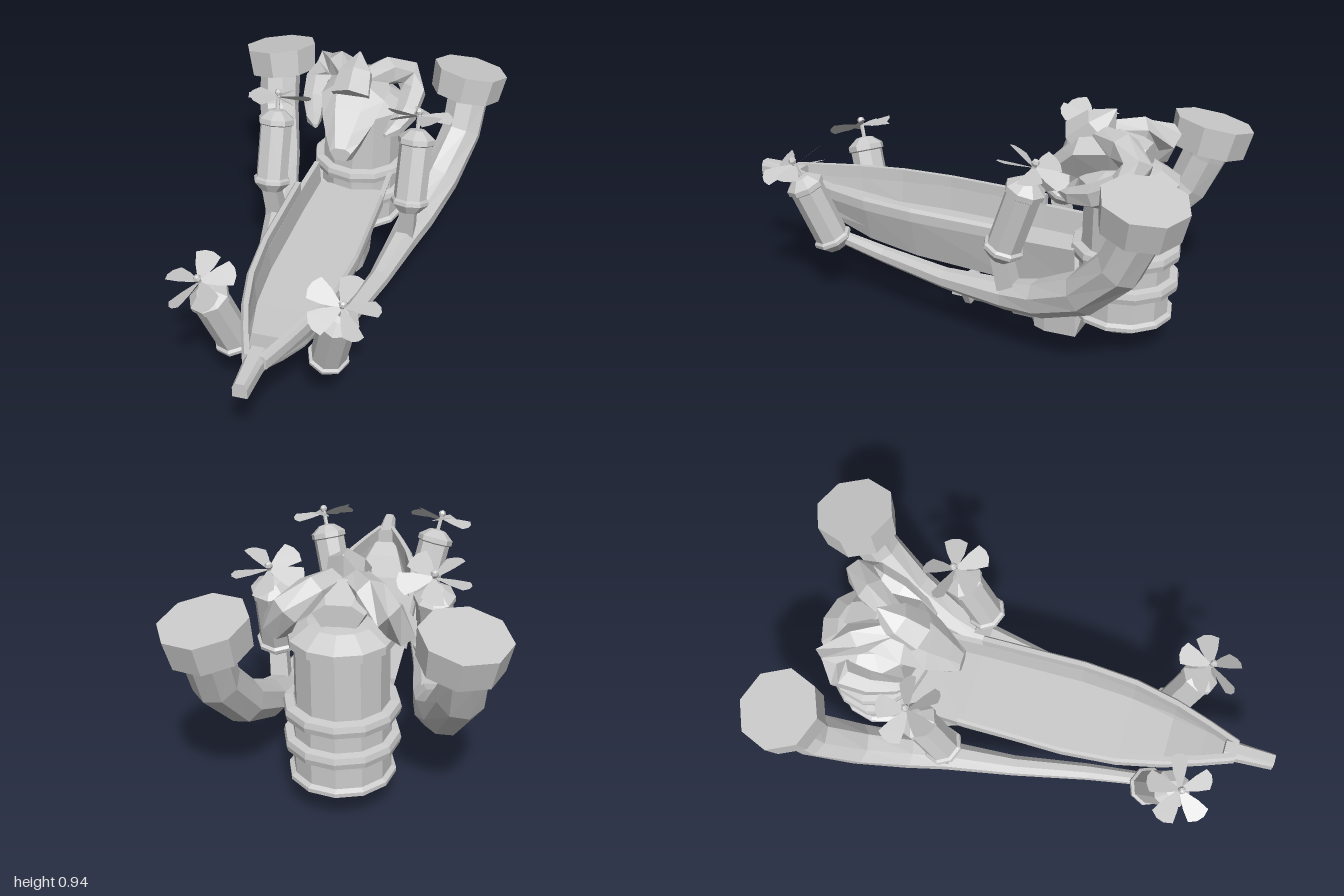
import * as THREE from 'three';

const mat = new THREE.MeshStandardMaterial({ color: 0xcccccc, flatShading: true, side: THREE.DoubleSide });
const V = (x, y, z) => new THREE.Vector3(x, y, z);

function add(parent, name, geo, x = 0, y = 0, z = 0) {
  const m = new THREE.Mesh(geo, mat);
  m.name = name;
  m.position.set(x, y, z);
  parent.add(m);
  return m;
}

// Skin a list of closed rings (counter-clockwise about the travel direction), ends capped
function loft(rings, flat2D) {
  const pos = [], n = rings[0].length;
  const tri = (a, b, c) => [a, b, c].forEach(p => pos.push(p.x, p.y, p.z));
  for (let r = 0; r < rings.length - 1; r++) {
    for (let i = 0; i < n; i++) {
      const j = (i + 1) % n, A = rings[r], B = rings[r + 1];
      tri(A[i], A[j], B[j]);
      tri(A[i], B[j], B[i]);
    }
  }
  const first = rings[0], last = rings[rings.length - 1];
  const faces = flat2D
    ? THREE.ShapeUtils.triangulateShape(first.map(p => new THREE.Vector2(p.x, p.y)), [])
    : Array.from({ length: n - 2 }, (_, i) => [0, i + 1, i + 2]);
  for (const [a, b, c] of faces) {
    tri(first[c], first[b], first[a]);
    tri(last[a], last[b], last[c]);
  }
  const g = new THREE.BufferGeometry();
  g.setAttribute('position', new THREE.Float32BufferAttribute(pos, 3));
  g.computeVertexNormals();
  return g;
}

// Faceted tube of changing radius; each station is [x, y, z, radius]
function taperTube(stations, sides) {
  const p = stations.map(s => V(s[0], s[1], s[2]));
  return loft(p.map((c, i) => {
    const t = p[Math.min(i + 1, p.length - 1)].clone().sub(p[Math.max(i - 1, 0)]).normalize();
    const u = V(1, 0, 0).addScaledVector(t, -t.x).normalize();
    const v = t.clone().cross(u);
    return Array.from({ length: sides }, (_, k) => {
      const a = (k + 0.5) / sides * Math.PI * 2, r = stations[i][3];
      return c.clone().addScaledVector(u, r * Math.cos(a)).addScaledVector(v, r * Math.sin(a));
    });
  }));
}

const lathe = (pts, seg) => new THREE.LatheGeometry(pts.map(p => new THREE.Vector2(...p)), seg);

// Engine pod with propeller, pointing along +y from its base
function engine(name, spin, pitch) {
  const g = new THREE.Group();
  g.name = name;
  add(g, 'pod', lathe([[0, 0], [0.045, 0.008], [0.08, 0.045], [0.08, 0.06], [0.069, 0.068], [0.069, 0.295],
    [0.077, 0.3], [0.077, 0.322], [0.035, 0.355], [0, 0.36]], 8));
  add(g, 'shaft', new THREE.CylinderGeometry(0.009, 0.009, 0.08, 6), 0, 0.39, 0);
  add(g, 'hub', new THREE.SphereGeometry(0.016, 6, 4), 0, 0.43, 0);
  const s = new THREE.Shape([[0.008, -0.008], [0.07, -0.034], [0.122, -0.046], [0.138, -0.015], [0.138, 0.015],
    [0.122, 0.046], [0.07, 0.034], [0.008, 0.008]].map(p => new THREE.Vector2(...p)));
  for (let i = 0; i < 5; i++) {
    const blade = add(g, 'blade', new THREE.ShapeGeometry(s), 0, 0.41, 0);
    blade.rotation.set(-Math.PI / 2 + pitch, spin + i * Math.PI * 0.4, 0, 'YXZ');
  }
  return g;
}

export function createModel() {
  const model = new THREE.Group();
  model.name = 'airship';

  // Hull: [z, half width, keel height]
  const st = [[-0.5, 0.175, 0.2], [-0.25, 0.185, 0.175], [0.18, 0.19, 0.195], [0.4, 0.172, 0.22],
    [0.58, 0.132, 0.26], [0.72, 0.085, 0.305], [0.85, 0.036, 0.36], [0.9, 0.022, 0.41]];
  add(model, 'hull', loft(st.map(([z, w, k]) => {
    const i = w * 0.88, c = Math.min(k + 0.055, 0.425), d = Math.max(0.33, Math.min(c + 0.02, 0.43));
    return [[w, 0.43], [i, 0.43], [i * 0.95, d], [-i * 0.95, d], [-i, 0.43], [-w, 0.43],
      [-w * 0.75, c], [0, k], [w * 0.75, c]].map(([x, y]) => V(x, y, z));
  }), true));

  // Prow beam
  add(model, 'prow', loft([[0.8, 0.04], [0.87, 0.034], [1, 0.027]].map(([z, w]) =>
    [[w, 0.415], [w, 0.455], [w * 0.6, 0.475], [-w * 0.6, 0.475], [-w, 0.455], [-w, 0.415]].map(([x, y]) => V(x, y, z)))));

  // Boiler with bands
  add(model, 'boiler', lathe([[0, 0.06], [0.1, 0.078], [0.195, 0.135], [0.195, 0.15], [0.178, 0.16], [0.178, 0.42],
    [0.17, 0.43], [0.17, 0.65], [0.19, 0.66], [0.19, 0.69], [0.12, 0.735], [0, 0.75]], 12), 0, 0, -0.65);
  for (const y of [0.28, 0.405]) {
    add(model, 'boilerBand', lathe([[0.175, -0.028], [0.207, -0.022], [0.212, 0], [0.207, 0.022], [0.175, 0.028]], 12), 0, y, -0.65);
  }

  // Ram's head: [z, half width, bottom, top]
  const head = new THREE.Group();
  head.name = 'ramHead';
  model.add(head);
  add(head, 'skull', loft([[-0.72, 0.09, 0.72, 0.82], [-0.6, 0.125, 0.7, 0.865], [-0.47, 0.135, 0.68, 0.845],
    [-0.39, 0.108, 0.61, 0.77], [-0.32, 0.07, 0.58, 0.7], [-0.275, 0.045, 0.595, 0.65]].map(([z, w, b, t]) => {
    const m = b + (t - b) * 0.68;
    return [[w, m], [w * 0.5, t], [-w * 0.5, t], [-w, m], [-w * 0.55, b], [w * 0.55, b]].map(([x, y]) => V(x, y, z));
  })));
  add(head, 'crest', taperTube([[0, 0.8, -0.45, 0.09], [0, 0.875, -0.53, 0.075], [0, 0.945, -0.585, 0.003]], 6));

  // Underslung gun turret: [z, half width, bottom, top]
  add(model, 'turret', loft([[-0.53, 0.1, 0.16, 0.22], [-0.49, 0.102, 0.01, 0.22], [-0.36, 0.102, 0.005, 0.21],
    [-0.31, 0.085, 0.01, 0.18]].map(([z, w, b, t]) =>
    [[w * 0.84, b], [w, t], [-w, t], [-w * 0.84, b]].map(([x, y]) => V(x, y, z)))));
  const gun = new THREE.Group();
  gun.name = 'gun';
  gun.position.y = 0.085;
  gun.rotation.x = Math.PI / 2;
  model.add(gun);
  add(gun, 'gunBody', lathe([[0.092, -0.36], [0.092, -0.3], [0.073, -0.285], [0.073, -0.2], [0.056, -0.19],
    [0.056, -0.02], [0.074, -0.012], [0.074, 0.015], [0.04, 0.045], [0, 0.055]], 6)).rotation.y = Math.PI / 6;
  for (let i = 0; i < 4; i++) {
    const a = i * Math.PI / 2;
    add(gun, 'muzzle', new THREE.CylinderGeometry(0.014, 0.014, 0.09, 6), 0.047 * Math.cos(a), 0.043, 0.047 * Math.sin(a));
  }

  for (const s of [1, -1]) {
    const side = s > 0 ? 'left' : 'right';

    // Gunwale rail, ending at the rear engine
    add(model, side + 'Rail', loft(st.slice(1, 7).map(([z, w]) => {
      const a = w + 0.008, b = Math.max(w - 0.022, 0.008);
      const ring = [[a, 0.422], [a, 0.462], [a - 0.01, 0.476], [b, 0.476], [b, 0.422]].map(([x, y]) => V(s * x, y, z));
      return s > 0 ? ring : ring.reverse();
    })));

    // Exhaust horn sweeping down and tapering forward along the hull
    add(model, side + 'Exhaust', taperTube([[0.43, 0.74, -0.84, 0.092], [0.43, 0.66, -0.82, 0.09],
      [0.42, 0.53, -0.765, 0.088], [0.365, 0.37, -0.615, 0.084], [0.31, 0.277, -0.43, 0.074], [0.278, 0.245, -0.28, 0.06],
      [0.24, 0.233, 0, 0.042], [0.185, 0.245, 0.3, 0.034], [0.155, 0.275, 0.56, 0.026]].map(([x, ...r]) => [s * x, ...r]), 8));
    const funnel = add(model, side + 'Funnel', new THREE.CylinderGeometry(0.16, 0.15, 0.115, 8), s * 0.424, 0.745, -0.835);
    funnel.quaternion.setFromUnitVectors(V(0, 1, 0), V(s * 0.14, 1, -0.17).normalize());

    // Curled ram horn
    add(head, side + 'RamHorn', taperTube([[0.02, 0.835, -0.53, 0.05], [0.1, 0.835, -0.655, 0.062], [0.175, 0.8, -0.73, 0.06],
      [0.212, 0.73, -0.69, 0.058], [0.205, 0.68, -0.59, 0.05], [0.175, 0.65, -0.49, 0.035], [0.15, 0.65, -0.43, 0.01]]
      .map(([x, ...r]) => [s * x, ...r]), 6));

    // Engines: base point, axis and blade pitch, mirrored side to side
    for (const [name, base, axis, pitch] of [
      ['FrontEngine', V(s * 0.172, 0.222, 0.535), V(s * 0.088, 0.37, 0.125), -0.4],
      ['RearEngine', V(s * 0.3, 0.4, -0.257), V(0, 0.43, -0.145), 0.4]]) {
      const e = engine(side + name, s > 0 ? 0.3 : Math.PI - 0.3, s * pitch);
      e.position.copy(base);
      e.quaternion.setFromUnitVectors(V(0, 1, 0), axis.normalize());
      model.add(e);
    }
    add(model, side + 'EngineStrut', taperTube([[s * 0.3, 0.44, -0.26, 0.045], [s * 0.285, 0.24, -0.3, 0.05]], 4));
  }
  return model;
}
